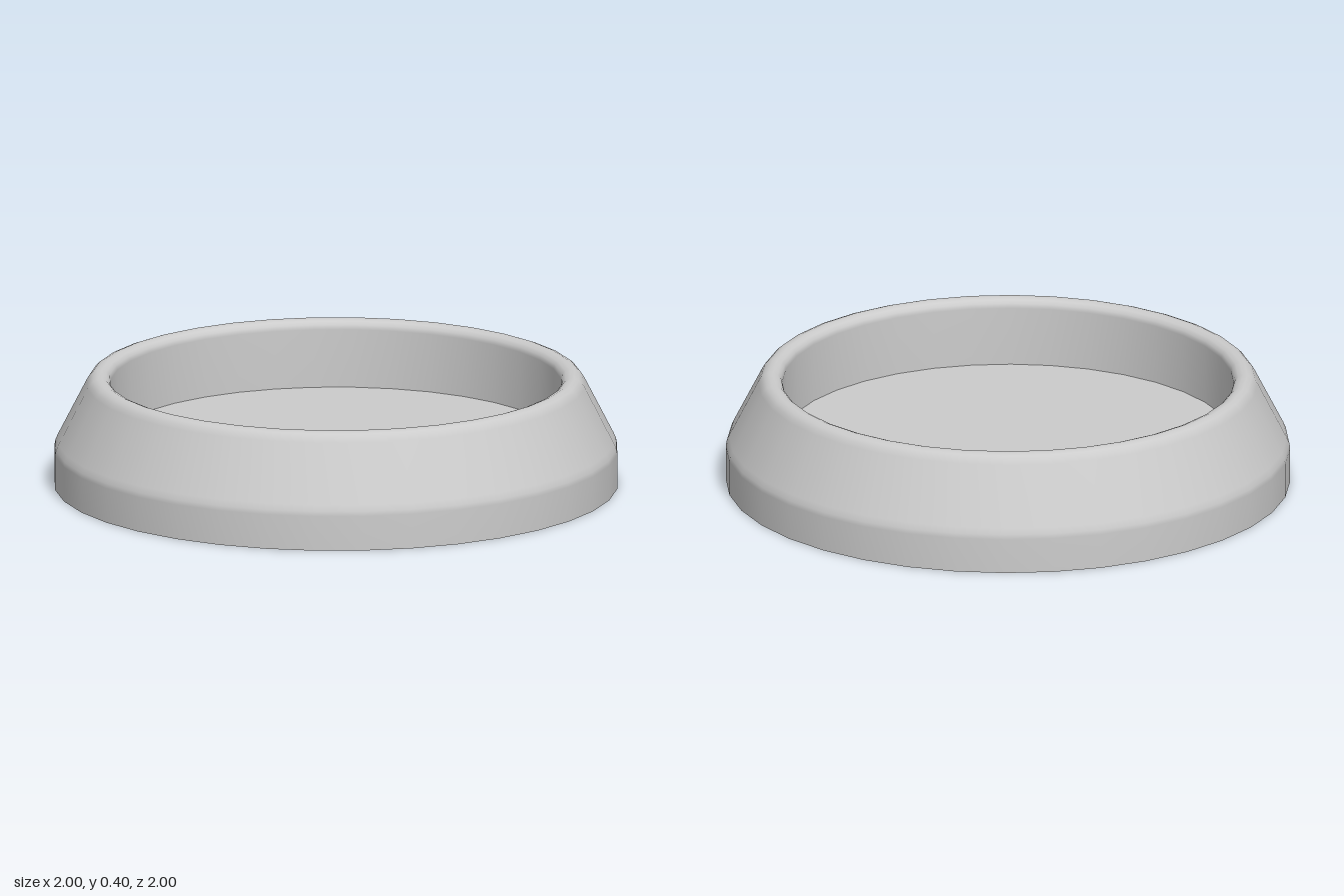
import * as THREE from 'three';

const SEGMENTS = 36;
const FLOOR_Y = 0.155;
const INNER_R = 0.8;

export function createModel() {
  const group = new THREE.Group();
  group.name = 'roundTray';
  const material = new THREE.MeshStandardMaterial({ color: 0xcccccc });

  const add = (name, geometry, y = 0) => {
    const mesh = new THREE.Mesh(geometry, material);
    mesh.name = name;
    mesh.position.y = y;
    group.add(mesh);
  };

  // Wall: straight foot, sloped side, rounded rim, then down the inside
  const profile = [
    [1, 0], [1, 0.125], [0.997, 0.142], [0.988, 0.163],
    [0.885, 0.365], [0.876, 0.38], [0.864, 0.392], [0.848, 0.398],
    [0.832, 0.398], [0.816, 0.392], [0.805, 0.381], [INNER_R, 0.365],
    [INNER_R, FLOOR_Y],
  ].map(([r, y]) => new THREE.Vector2(r, y));
  add('wall', new THREE.LatheGeometry(profile, SEGMENTS));

  // Recessed floor and flat underside
  add('floor', new THREE.CircleGeometry(INNER_R, SEGMENTS).rotateX(-Math.PI / 2), FLOOR_Y);
  add('underside', new THREE.CircleGeometry(1, SEGMENTS).rotateX(Math.PI / 2));

  return group;
}
